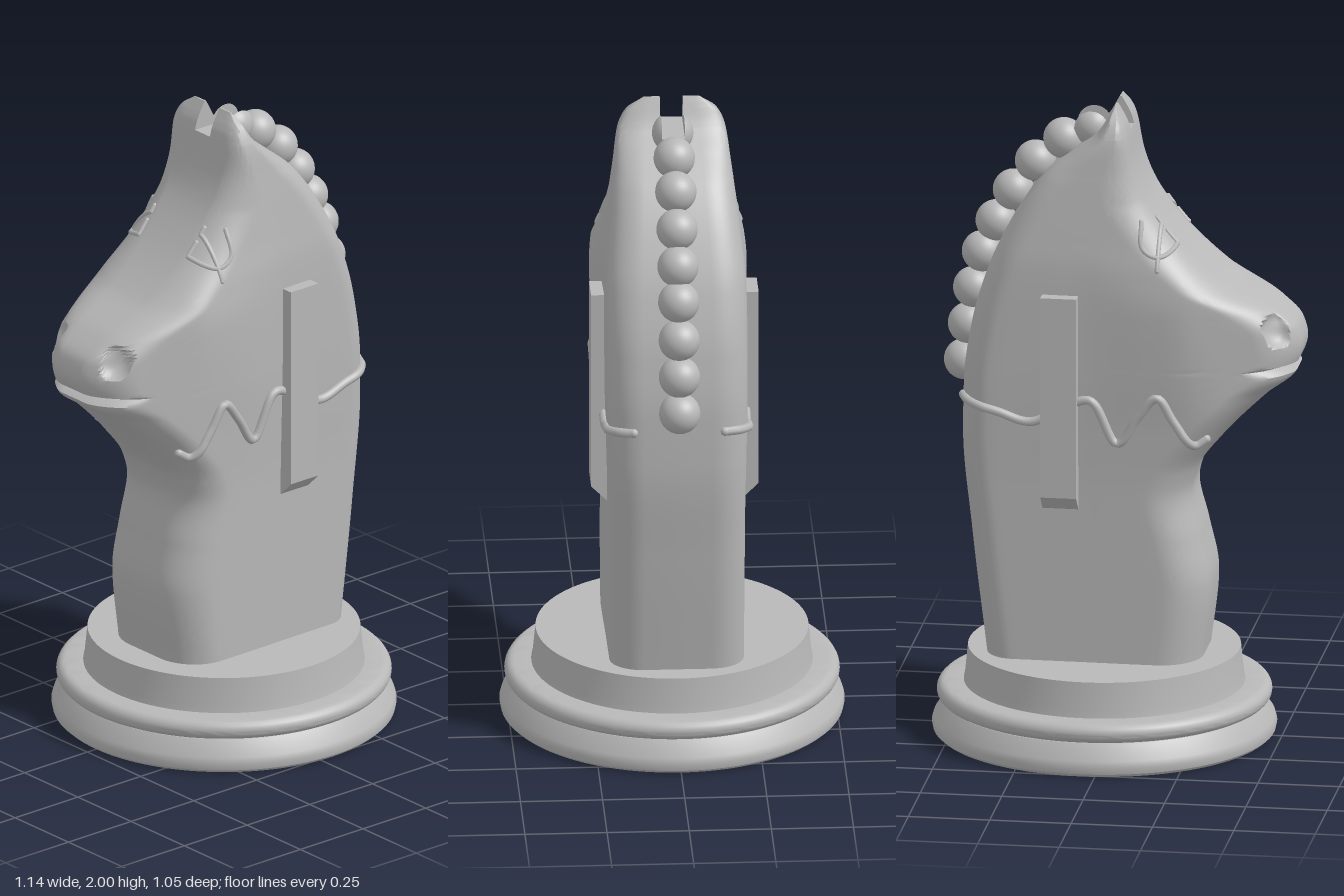
import * as THREE from 'three';
import { toCreasedNormals } from 'three/addons/utils/BufferGeometryUtils.js';

// Monotone cubic through [position, value] pairs
function curve(pts) {
  const slope = i => (pts[i + 1][1] - pts[i][1]) / (pts[i + 1][0] - pts[i][0]);
  const last = pts.length - 1;
  const tangent = i => {
    if (i === 0) return slope(0);
    if (i === last) return slope(last - 1);
    const a = slope(i - 1), b = slope(i);
    return a * b <= 0 ? 0 : 2 * a * b / (a + b);
  };
  return p => {
    p = Math.min(Math.max(p, pts[0][0]), pts[last][0]);
    let i = 0;
    while (i < last - 1 && p > pts[i + 1][0]) i++;
    const h = pts[i + 1][0] - pts[i][0], t = (p - pts[i][0]) / h;
    const t2 = t * t, t3 = t2 * t;
    return (2 * t3 - 3 * t2 + 1) * pts[i][1] + (t3 - 2 * t2 + t) * h * tangent(i)
      + (3 * t2 - 2 * t3) * pts[i + 1][1] + (t3 - t2) * h * tangent(i + 1);
  };
}

// Side outline of the horse: front and back x at each height
const frontX = curve([[0.26, -0.27], [0.5, -0.295], [0.655, -0.265], [0.79, -0.235], [0.87, -0.255],
  [0.98, -0.335], [1.115, -0.47], [1.188, -0.555], [1.2, -0.51], [1.212, -0.558], [1.265, -0.573],
  [1.317, -0.56], [1.38, -0.49], [1.465, -0.335], [1.61, -0.18], [1.74, -0.09], [1.82, -0.06],
  [1.937, -0.035], [2, -0.003]]);
const backX = curve([[0.26, 0.388], [0.655, 0.435], [0.97, 0.463], [1.13, 0.46], [1.315, 0.435],
  [1.5, 0.38], [1.645, 0.31], [1.78, 0.215], [1.86, 0.12], [1.92, 0.05], [2, 0.003]]);
// Half width limits by height and by length
const widthY = curve([[0.26, 0.208], [0.8, 0.21], [1.0, 0.218], [1.2, 0.235], [1.38, 0.245], [1.5, 0.228],
  [1.6, 0.208], [1.8, 0.18], [1.9, 0.165], [1.96, 0.138], [2, 0.085]]);
const widthX = curve([[-0.575, 0.13], [-0.5, 0.17], [-0.4, 0.195], [-0.3, 0.222], [-0.2, 0.248],
  [-0.1, 0.24], [0, 0.227], [0.1, 0.218], [0.5, 0.212]]);
const frontFlat = curve([[1.5, 0.35], [1.9, 0.65]]);

function radii(y) {
  const span = backX(y) - frontX(y);
  return [Math.min(0.13, span * 0.35), Math.min(0.09, span * 0.35)];
}

// Half width of the horse at any point of its side
function halfWidth(x, y) {
  const [rf, rb] = radii(y);
  const w = Math.pow(Math.pow(widthY(y), -24) + Math.pow(widthX(x), -24), -1 / 24);
  const round = (d, r, flat) => d >= r ? 1 :
    flat + (1 - flat) * Math.sqrt(Math.max(0, 1 - (1 - Math.max(d, 0) / r) ** 2));
  return w * round(x - frontX(y), rf, frontFlat(y)) * round(backX(y) - x, rb, 0.5);
}

// x stations from front to back, dense around both rounded corners
function stations(y) {
  const f = frontX(y), b = backX(y), [rf, rb] = radii(y), xs = [];
  for (let i = 0; i <= 20; i++) xs.push(f + rf * (1 - Math.cos(i / 20 * Math.PI / 2)));
  for (let i = 1; i < 18; i++) xs.push(f + rf + (b - rb - f - rf) * i / 18);
  for (let i = 10; i >= 0; i--) xs.push(b - rb * (1 - Math.cos(i / 10 * Math.PI / 2)));
  return xs;
}

// Nostril hollows pressed into the muzzle
function nostril(x, y) {
  const dx = x + 0.503, dy = y - 1.322;
  const u = (dx * 0.85 - dy * 0.5) / 0.03, v = (dx * 0.5 + dy * 0.85) / 0.05;
  return Math.sqrt(Math.max(0, 1 - u * u - v * v)) * 0.035;
}

// Skin closed loops of points (counterclockwise from above) and cap the top
function loft(rings) {
  const n = rings[0].length, pos = rings.flat(2), index = [];
  for (let i = 0; i < rings.length - 1; i++) {
    for (let j = 0; j < n; j++) {
      const a = i * n + j, b = i * n + (j + 1) % n;
      index.push(a, b, b + n, a, b + n, a + n);
    }
  }
  const top = rings[rings.length - 1], c = [0, 0, 0];
  top.forEach(p => p.forEach((v, k) => { c[k] += v / n; }));
  pos.push(...c);
  const start = (rings.length - 1) * n;
  for (let j = 0; j < n; j++) index.push(rings.length * n, start + j, start + (j + 1) % n);
  const g = new THREE.BufferGeometry();
  g.setAttribute('position', new THREE.Float32BufferAttribute(pos, 3));
  g.setIndex(index);
  return toCreasedNormals(g, 0.7);
}

const NOTCH_Y = 1.915, NOTCH_Z = 0.035;

function bodyGeometry() {
  const rings = [];
  for (let i = 0; i <= 165; i++) {
    const y = 0.26 + (NOTCH_Y - 0.26) * i / 165;
    const side = stations(y).map(x => {
      const dent = nostril(x, y);
      return [x + dent * 0.6, y, halfWidth(x, y) - dent * 0.8];
    });
    rings.push([...side, ...side.map(p => [p[0], p[1], -p[2]]).reverse()]);
  }
  return loft(rings);
}

function earGeometry(s) {
  const rings = [];
  for (let i = 0; i <= 12; i++) {
    const y = NOTCH_Y + (2 - NOTCH_Y) * i / 12, xs = stations(y);
    const outer = xs.map(x => [x, y, s * Math.max(NOTCH_Z + 0.002, halfWidth(x, y))]);
    const inner = xs.map(x => [x, y, s * NOTCH_Z]).reverse();
    const ring = [...outer, ...inner];
    rings.push(s > 0 ? ring : ring.reverse());
  }
  return loft(rings);
}

export function createModel() {
  const model = new THREE.Group();
  const grey = new THREE.MeshStandardMaterial({ color: 0xb8b8b8 });
  grey.name = 'grey';
  const add = (name, geometry, parent = model) => {
    const mesh = new THREE.Mesh(geometry, grey);
    mesh.name = name;
    parent.add(mesh);
    return mesh;
  };

  // Turned pedestal with a rounded moulding
  const profile = [[0, 0], [0.51, 0], [0.521, 0.01], [0.525, 0.03], [0.519, 0.05], [0.485, 0.098]];
  for (let i = 0; i <= 10; i++) {
    const a = -Math.PI / 2 + Math.PI * i / 10;
    profile.push([0.48 + 0.03 * Math.cos(a), 0.13 + 0.03 * Math.sin(a)]);
  }
  profile.push([0.428, 0.16], [0.424, 0.18], [0.415, 0.27], [0, 0.27]);
  const base = new THREE.LatheGeometry(profile.map(p => new THREE.Vector2(...p)), 96);
  add('pedestal', toCreasedNormals(base, 0.5)).position.x = 0.045;

  // Neck and head, with two ears either side of a notch
  add('horseHead', bodyGeometry());
  add('leftEar', earGeometry(1));
  add('rightEar', earGeometry(-1));

  // Mane of beads down the back of the neck
  const R = 0.063;
  const mane = new THREE.Group();
  mane.name = 'mane';
  model.add(mane);
  [[0.17, 1.87], [0.257, 1.795], [0.325, 1.7], [0.378, 1.6], [0.42, 1.5], [0.447, 1.385], [0.463, 1.27],
    [0.475, 1.155]].forEach(([x, y]) => {
    add('maneBead', new THREE.SphereGeometry(R, 32, 20), mane).position.set(x, y, 0);
  });
  // Top bead, cut through by the notch
  const cut = new THREE.Group();
  cut.name = 'notchedBead';
  cut.position.set(0.08, NOTCH_Y, 0);
  mane.add(cut);
  add('beadBottom', new THREE.SphereGeometry(R, 32, 12, 0, Math.PI * 2, Math.PI / 2, Math.PI / 2), cut);
  add('beadFloor', new THREE.CircleGeometry(R, 32), cut).rotation.x = -Math.PI / 2;
  for (const s of [1, -1]) {
    const cap = new THREE.SphereGeometry(R, 32, 8, 0, Math.PI * 2, 0, Math.acos(NOTCH_Z / R));
    add('beadSide', cap, cut).rotation.x = s * Math.PI / 2;
    const wall = add('beadCut', new THREE.CircleGeometry(Math.sqrt(R * R - NOTCH_Z * NOTCH_Z), 32), cut);
    wall.position.z = s * NOTCH_Z;
    if (s > 0) wall.rotation.y = Math.PI;
  }

  // Cord laid on the surface through [x, y] points
  const cord = (name, pts, s, r, lift) => {
    const rough = new THREE.CatmullRomCurve3(pts.map(([x, y]) => new THREE.Vector3(x, y, 0)));
    const path = rough.getPoints(60).map(p => {
      const x = Math.min(Math.max(p.x, frontX(p.y) + 0.004), backX(p.y) - 0.002);
      return new THREE.Vector3(x, p.y, s * (halfWidth(x, p.y) + lift));
    });
    add(name, new THREE.TubeGeometry(new THREE.CatmullRomCurve3(path), 100, r, 8));
    for (const end of [path[0], path[60]]) add(name + 'End', new THREE.SphereGeometry(r, 10, 8)).position.copy(end);
  };

  // Side bar: bevelled at its lower end
  const barShape = new THREE.Shape([[0.17, 1.435], [0.17, 0.755], [0.207, 0.755], [0.255, 0.802], [0.255, 1.435]]
    .map(p => new THREE.Vector2(...p)));

  for (const s of [1, -1]) {
    const side = s > 0 ? 'left' : 'right';
    const bar = new THREE.ExtrudeGeometry(barShape, { depth: 0.11, bevelEnabled: false });
    bar.rotateY(-Math.PI / 2);
    if (s < 0) bar.rotateY(Math.PI);
    add(side + 'Bar', bar).position.x = s > 0 ? 0.205 : 0.095;

    // Wavy rein wrapping towards the back
    cord(side + 'Rein', [[-0.295, 0.99], [-0.26, 0.972], [-0.2, 1.05], [-0.15, 1.125], [-0.09, 1.06],
      [-0.025, 0.972], [0.055, 1.105], [0.13, 1.085], [0.24, 1.03], [0.35, 1.06], [0.458, 1.085]], s, 0.014, 0.005);

    // Eye: a curved lid with a central stroke
    cord(side + 'EyeLid', [[-0.2, 1.625], [-0.195, 1.585], [-0.148, 1.562], [-0.1, 1.59], [-0.092, 1.665]],
      s, 0.008, -0.003);
    cord(side + 'EyeStroke', [[-0.146, 1.665], [-0.147, 1.6], [-0.148, 1.525]], s, 0.008, -0.003);
  }
  return model;
}
